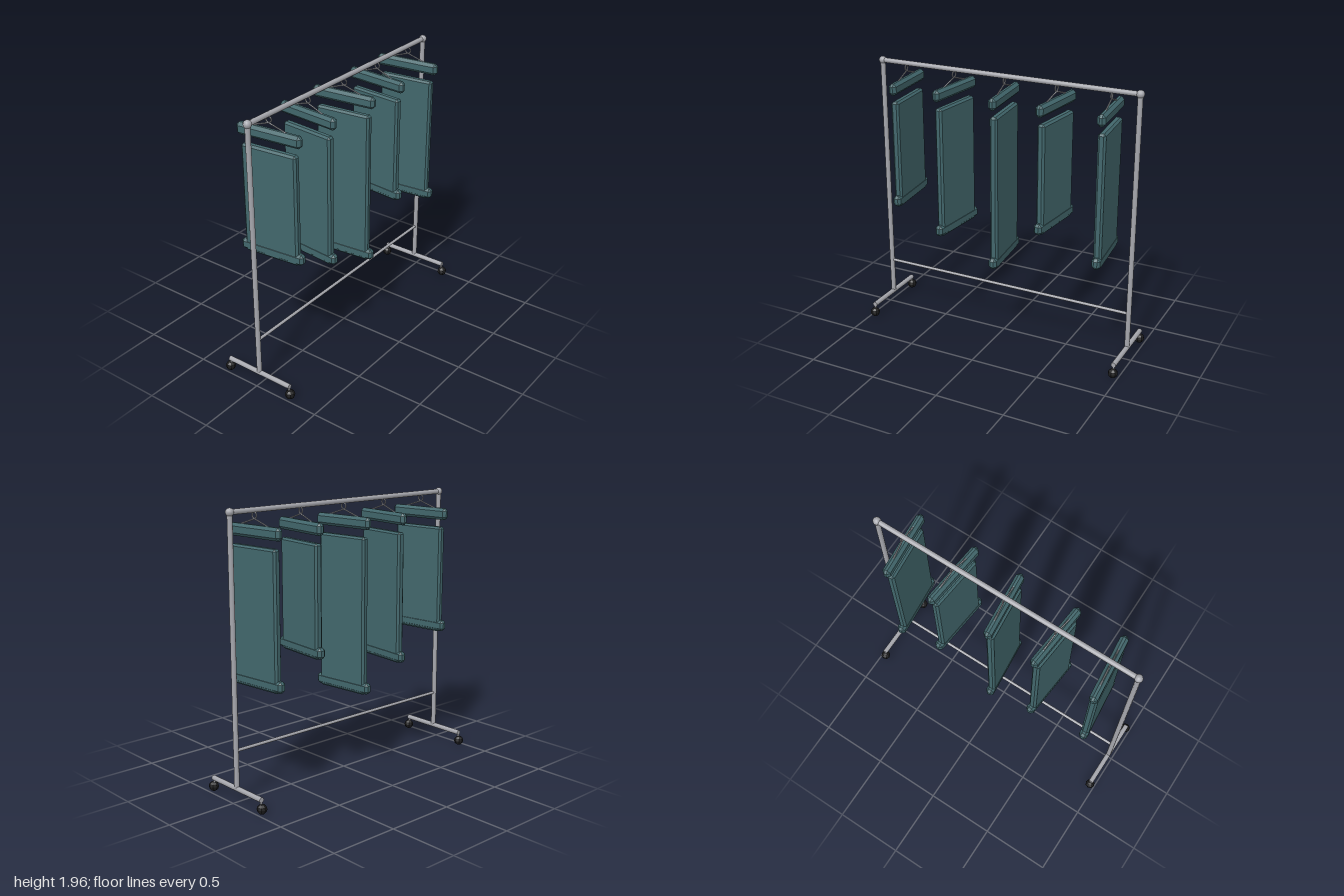
import * as THREE from 'three';
import { ConvexGeometry } from 'three/addons/geometries/ConvexGeometry.js';

const metal = new THREE.MeshStandardMaterial({ name: 'brushed metal', color: 0xa6a7ad });
const cloth = new THREE.MeshStandardMaterial({ name: 'teal cloth', color: 0x42676c });
const rubber = new THREE.MeshStandardMaterial({ name: 'black rubber', color: 0x1b1b1c });

function add(parent, name, geometry, material, x = 0, y = 0, z = 0) {
  const mesh = new THREE.Mesh(geometry, material);
  mesh.name = name;
  mesh.position.set(x, y, z);
  parent.add(mesh);
  return mesh;
}

// Round bar between two points
function bar(parent, name, a, b, radius, sides = 12) {
  const from = new THREE.Vector3(...a), to = new THREE.Vector3(...b);
  const dir = to.clone().sub(from);
  const mesh = add(parent, name, new THREE.CylinderGeometry(radius, radius, dir.length(), sides), metal);
  mesh.position.copy(from).lerp(to, 0.5);
  mesh.quaternion.setFromUnitVectors(new THREE.Vector3(0, 1, 0), dir.normalize());
  return mesh;
}

// Box with flat chamfers of size c on every edge
function chamferBox(w, h, d, c) {
  const points = [];
  for (const sx of [-1, 1]) for (const sy of [-1, 1]) for (const sz of [-1, 1]) {
    const x = w / 2, y = h / 2, z = d / 2;
    points.push(
      new THREE.Vector3(sx * x, sy * (y - c), sz * (z - c)),
      new THREE.Vector3(sx * (x - c), sy * y, sz * (z - c)),
      new THREE.Vector3(sx * (x - c), sy * (y - c), sz * z));
  }
  return new ConvexGeometry(points);
}

// Hanger, shoulder roll, hanging panel and hem roll
function makeGarment(bottom) {
  const g = new THREE.Group();
  g.name = 'garment';
  const hook = add(g, 'hook', new THREE.TorusGeometry(0.02, 0.005, 6, 16), metal, 0, 1.898, 0);
  hook.rotation.y = Math.PI / 2;
  for (const s of [-1, 1]) {
    bar(g, 'hangerWire', [0, 1.876, 0], [0, 1.815, s * 0.185], 0.005, 6);
  }
  add(g, 'shoulderRoll', chamferBox(0.057, 0.084, 0.48, 0.02), cloth, 0, 1.795, 0);
  const top = 1.7;
  add(g, 'panel', chamferBox(0.056, top - bottom, 0.41, 0.014), cloth, 0, (top + bottom) / 2, 0);
  add(g, 'hemRoll', chamferBox(0.06, 0.078, 0.48, 0.018), cloth, 0, bottom + 0.046, 0);
  return g;
}

export function createModel() {
  const model = new THREE.Group();
  model.name = 'clothesRack';
  const side = 0.965, railY = 1.933, footY = 0.096;

  // Frame
  bar(model, 'topRail', [-side, railY, 0], [side, railY, 0], 0.018);
  bar(model, 'lowerRail', [-side, 0.363, 0], [side, 0.363, 0], 0.011);
  for (const s of [-1, 1]) {
    const x = s * side;
    bar(model, 'post', [x, footY, 0], [x, railY, 0], 0.018);
    bar(model, 'foot', [x, footY, -0.265], [x, footY, 0.265], 0.018);
    add(model, 'cornerJoint', new THREE.SphereGeometry(0.028, 12, 8), metal, x, railY, 0);

    // Casters
    for (const e of [-1, 1]) {
      const z = e * 0.266;
      bar(model, 'casterStem', [x, 0.05, z * 0.97], [x, footY, z * 0.97], 0.008, 8);
      const wheel = new THREE.SphereGeometry(0.035, 8, 6).toNonIndexed();
      wheel.computeVertexNormals();
      add(model, 'caster', wheel, rubber, x, 0.035, z);
    }
  }

  // Garments, turned alternately along the rail
  [0.92, 0.755, 0.588, 0.92, 0.755].forEach((bottom, i) => {
    const garment = makeGarment(bottom);
    garment.position.x = (i - 2) * 0.386;
    garment.rotation.y = i % 2 ? -0.095 : 0.095;
    model.add(garment);
  });
  return model;
}
